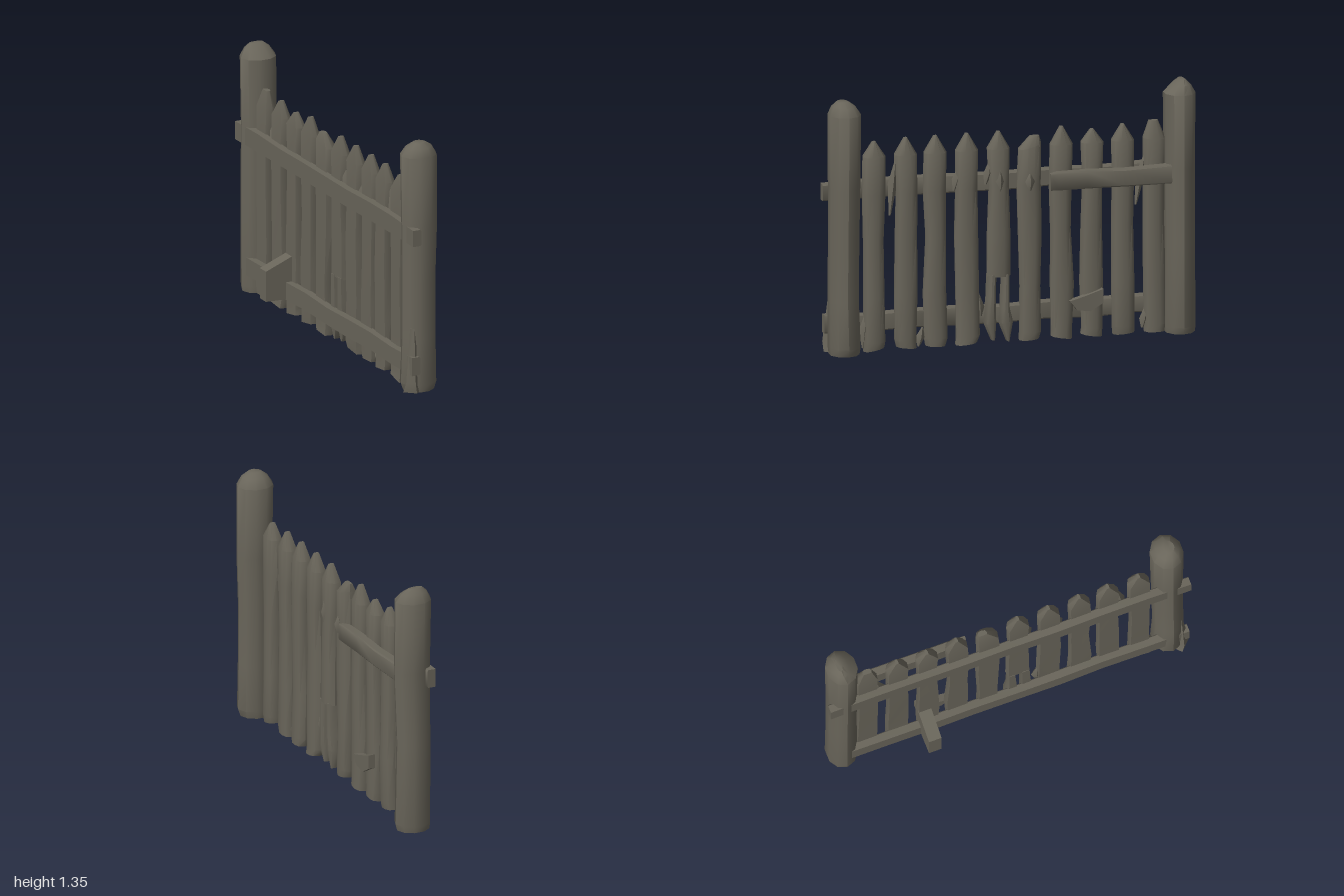
import * as THREE from 'three';
import { toCreasedNormals } from 'three/addons/utils/BufferGeometryUtils.js';

// Outlines in (x, z), unit size
const ROUND = Array.from({ length: 10 }, (_, i) => [Math.cos(i * Math.PI / 5), Math.sin(i * Math.PI / 5)]);
const HALF_ROUND = [[1, 0.3], [0.72, 0.75], [0, 1], [-1, 0.9], [-1, -0.9], [0, -1], [0.72, -0.75], [1, -0.3]];
const SQUARE = [[1, 0.85], [0.75, 1], [-1, 1], [-1, -1], [0.75, -1], [1, -0.85]];
const DIAMOND = [[1, 0], [0, 1], [-1, 0], [0, -1]];

// Skins sections [y, centreX, centreZ, radiusX, radiusZ, tilt along z] stacked up the y axis
function loft(outline, sections, crease = 0.7) {
  const n = outline.length, pos = [], idx = [];
  for (const [y, cx, cz, rx, rz, tilt = 0] of sections)
    for (const [px, pz] of outline) pos.push(cx + px * rx, y + tilt * pz, cz + pz * rz);
  const last = sections.length - 1;
  for (let s = 0; s < last; s++)
    for (let i = 0; i < n; i++) {
      const a = s * n + i, b = s * n + (i + 1) % n;
      idx.push(a, a + n, b, b, a + n, b + n);
    }
  const bottom = pos.length / 3, top = bottom + 1;
  for (const s of [sections[0], sections[last]]) pos.push(s[1], s[0], s[2]);
  for (let i = 0; i < n; i++) {
    const j = (i + 1) % n;
    idx.push(bottom, i, j, top, last * n + j, last * n + i);
  }
  const g = new THREE.BufferGeometry();
  g.setAttribute('position', new THREE.Float32BufferAttribute(pos, 3));
  g.setIndex(idx);
  return toCreasedNormals(g, crease);
}

export function createModel() {
  const group = new THREE.Group();
  const wood = new THREE.MeshStandardMaterial({ color: 0x69655a });
  wood.name = 'weathered wood';
  let seed = 11;
  const wobble = (amount) => {
    seed = (seed * 16807) % 2147483647;
    return (seed / 2147483647 - 0.5) * 2 * amount;
  };
  const add = (name, geometry) => {
    const mesh = new THREE.Mesh(geometry, wood);
    mesh.name = name;
    group.add(mesh);
    return mesh;
  };

  // End posts with hewn tops
  add('frontPost', loft(ROUND, [
    [0.01, 0.045, 0.895, 0.085, 0.08], [0.05, 0.045, 0.895, 0.1, 0.085], [0.3, 0.045, 0.9, 0.093, 0.08],
    [0.6, 0.045, 0.898, 0.092, 0.081], [0.9, 0.05, 0.897, 0.098, 0.083], [1.29, 0.047, 0.895, 0.1, 0.087],
    [1.335, 0.047, 0.9, 0.072, 0.062], [1.36, 0.045, 0.905, 0.035, 0.03]]));
  add('backPost', loft(ROUND, [
    [0.015, 0.048, -0.91, 0.09, 0.08], [0.05, 0.05, -0.91, 0.097, 0.084], [0.5, 0.045, -0.912, 0.093, 0.079],
    [0.9, 0.052, -0.908, 0.1, 0.08], [1.29, 0.047, -0.91, 0.1, 0.084],
    [1.335, 0.045, -0.92, 0.072, 0.048], [1.36, 0.042, -0.925, 0.04, 0.016]]));

  // Split wood at the foot of the front post
  add('postSplinter', loft(DIAMOND, [
    [0.015, -0.01, 0.94, 0.055, 0.05], [0.07, -0.02, 0.955, 0.035, 0.04], [0.36, -0.01, 0.95, 0.02, 0.01]]));

  // Pointed pickets: [z, tip height, tip shift]
  const pickets = [
    [0.73, 1.14, 0], [0.56, 1.15, 0], [0.4, 1.15, 0], [0.23, 1.15, 0], [0.06, 1.15, 0],
    [-0.11, 1.115, -0.025], [-0.28, 1.155, 0], [-0.445, 1.13, 0], [-0.61, 1.145, 0], [-0.78, 1.155, 0.005]];
  pickets.forEach(([z, tip, shift], i) => {
    const broken = i === 4;
    const sections = [];
    for (const y of broken ? [0.37, 0.6, 0.85] : [0.02, 0.06, 0.3, 0.6, 0.85])
      sections.push([y, 0.035 + wobble(0.004), z + wobble(0.006), 0.036, 0.058 + wobble(0.006), y < 0.03 ? wobble(0.012) : 0]);
    sections.push([1.05, 0.035, z, 0.036, 0.06, shift * 0.6], [tip - 0.01, 0.03, z + shift, 0.014, shift ? 0.025 : 0.008]);
    add('picket', loft(HALF_ROUND, sections));
    // The broken picket ends in two jagged prongs
    if (broken) {
      add('brokenProng', loft(HALF_ROUND, [
        [0.03, 0.035, 0.09, 0.02, 0.01], [0.12, 0.035, 0.105, 0.034, 0.033],
        [0.25, 0.035, 0.1, 0.036, 0.024], [0.38, 0.035, 0.096, 0.036, 0.023]]));
      add('brokenProng', loft(HALF_ROUND, [
        [0.02, 0.035, 0.01, 0.02, 0.007], [0.12, 0.035, 0.02, 0.034, 0.038],
        [0.2, 0.035, 0.025, 0.036, 0.024], [0.38, 0.035, 0.022, 0.036, 0.017]]));
    }
  });

  // Long rails behind the pickets, lofted upright and laid along z
  for (const [name, y, z0, z1] of [['upperRail', 0.868, -1, 1], ['lowerRail', 0.16, -0.93, 0.99]]) {
    const sections = [];
    for (let k = 0; k <= 8; k++)
      sections.push([z0 + (z1 - z0) * k / 8, -0.014 + wobble(0.003), wobble(0.005), 0.024, 0.047 + wobble(0.003)]);
    add(name, loft(SQUARE, sections).rotateX(Math.PI / 2)).position.y = y;
  }

  // Short repair board across the face
  add('repairBoard', loft(SQUARE, [
    [-0.86, 0.092, 0, 0.025, 0.05], [-0.6, 0.095, 0.004, 0.024, 0.046], [-0.4, 0.093, 0, 0.024, 0.048],
    [-0.24, 0.095, 0.001, 0.023, 0.047], [-0.2, 0.105, 0.002, 0.012, 0.044]
  ]).rotateX(Math.PI / 2)).position.y = 0.87;

  // Stub of board sticking out at the back, with a sloping top
  const stub = new THREE.Shape([[-0.155, 0.115], [0.02, 0.11], [0.02, 0.35], [-0.155, 0.28]].map(p => new THREE.Vector2(...p)));
  add('backStub', new THREE.ExtrudeGeometry(stub, { depth: 0.07, bevelEnabled: false })).position.z = -0.5;

  // Chip of board wedged against the face near the ground
  const chip = new THREE.Shape([[0.31, 0.22], [0.35, 0.17], [0.42, 0.16], [0.49, 0.2], [0.49, 0.275], [0.4, 0.245]].map(p => new THREE.Vector2(...p)));
  const chipMesh = add('faceChip', new THREE.ExtrudeGeometry(chip, { depth: 0.04, bevelEnabled: false }));
  chipMesh.rotation.y = Math.PI / 2;
  chipMesh.position.x = 0.05;

  // Slivers peeling off the picket edges: [x, z, low y, mid y, high y, z lean]
  const slivers = [
    [0.03, 0.645, 0.73, 0.9, 1.02, -0.03], [0.03, 0.3, 0.84, 0.9, 0.97, -0.03], [0.03, 0.13, 0.86, 0.92, 1.0, -0.03],
    [0.03, -0.68, 0.7, 0.86, 0.97, -0.05], [0.07, -0.1, 0.82, 0.87, 0.91, 0], [0.065, 0.06, 0.82, 0.88, 0.95, 0],
    [0.03, 0.155, 0.16, 0.21, 0.28, 0.012], [0.03, 0.49, 0.02, 0.07, 0.12, -0.02], [0.03, 0.79, 0.03, 0.13, 0.2, -0.01],
    [0.03, -0.715, 0.04, 0.09, 0.16, -0.02]];
  for (const [x, z, low, mid, high, lean] of slivers)
    add('sliver', loft(DIAMOND, [
      [low, x, z, 0.006, 0.006], [mid, x, z + lean / 2, 0.022, 0.026], [high, x, z + lean, 0.004, 0.004]]));

  return group;
}
